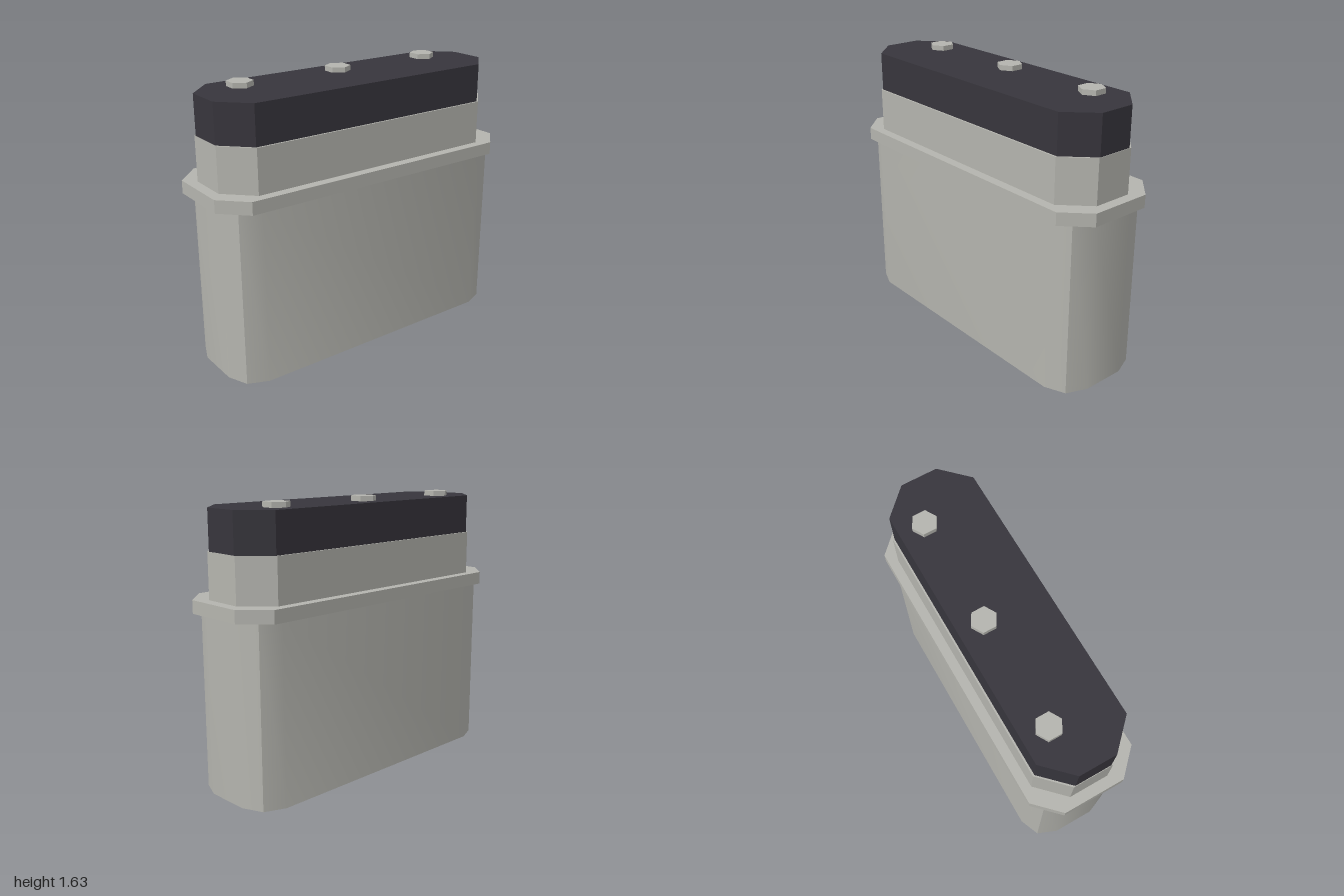
import * as THREE from 'three';
import { toCreasedNormals } from 'three/addons/utils/BufferGeometryUtils.js';

// Upright prism; its outline is one corner (from the side to the end) mirrored into four
function prism(name, corner, y0, y1, material) {
  const back = [...corner].reverse();
  const outline = [
    ...corner.map(([x, z]) => [x, z]),
    ...back.map(([x, z]) => [-x, z]),
    ...corner.map(([x, z]) => [-x, -z]),
    ...back.map(([x, z]) => [x, -z]),
  ];
  const shape = new THREE.Shape(outline.map(([x, z]) => new THREE.Vector2(x, z)));
  let geometry = new THREE.ExtrudeGeometry(shape, { depth: y1 - y0, bevelEnabled: false });
  geometry.rotateX(-Math.PI / 2);
  geometry.translate(0, y0, 0);
  // Shallow turns are shaded smooth, 45 degree corners stay sharp
  geometry = toCreasedNormals(geometry, 0.55);
  const mesh = new THREE.Mesh(geometry, material);
  mesh.name = name;
  return mesh;
}

export function createModel() {
  const group = new THREE.Group();
  group.name = 'connectorBlock';

  const grey = new THREE.MeshStandardMaterial({ color: 0xb4b4ae });
  grey.name = 'warm grey';
  const dark = new THREE.MeshStandardMaterial({ color: 0x37353c });
  dark.name = 'charcoal';

  // Housing with two-step rounded corners
  const r = 0.17, mid = r * Math.SQRT1_2;
  const cx = 0.3 - r, cz = 0.95 - r;
  group.add(prism('body', [[0.3, cz], [cx + mid, cz + mid], [cx, 0.95]], 0, 1.035, grey));

  // Chamfered tiers above the housing
  group.add(prism('flange', [[0.327, 0.858], [0.185, 1]], 1.035, 1.11, grey));
  group.add(prism('neck', [[0.271, 0.785], [0.118, 0.938]], 1.11, 1.37, grey));
  group.add(prism('cap', [[0.261, 0.783], [0.108, 0.935]], 1.37, 1.6, dark));

  // Row of hexagonal bolts, set off to one side of the cap
  const boltGeometry = toCreasedNormals(
    new THREE.CylinderGeometry(0.075, 0.075, 0.03, 6).rotateY(Math.PI / 2), 0.5);
  for (const z of [-0.652, 0, 0.652]) {
    const bolt = new THREE.Mesh(boltGeometry, grey);
    bolt.name = 'bolt';
    bolt.position.set(-0.112, 1.615, z);
    group.add(bolt);
  }
  return group;
}
